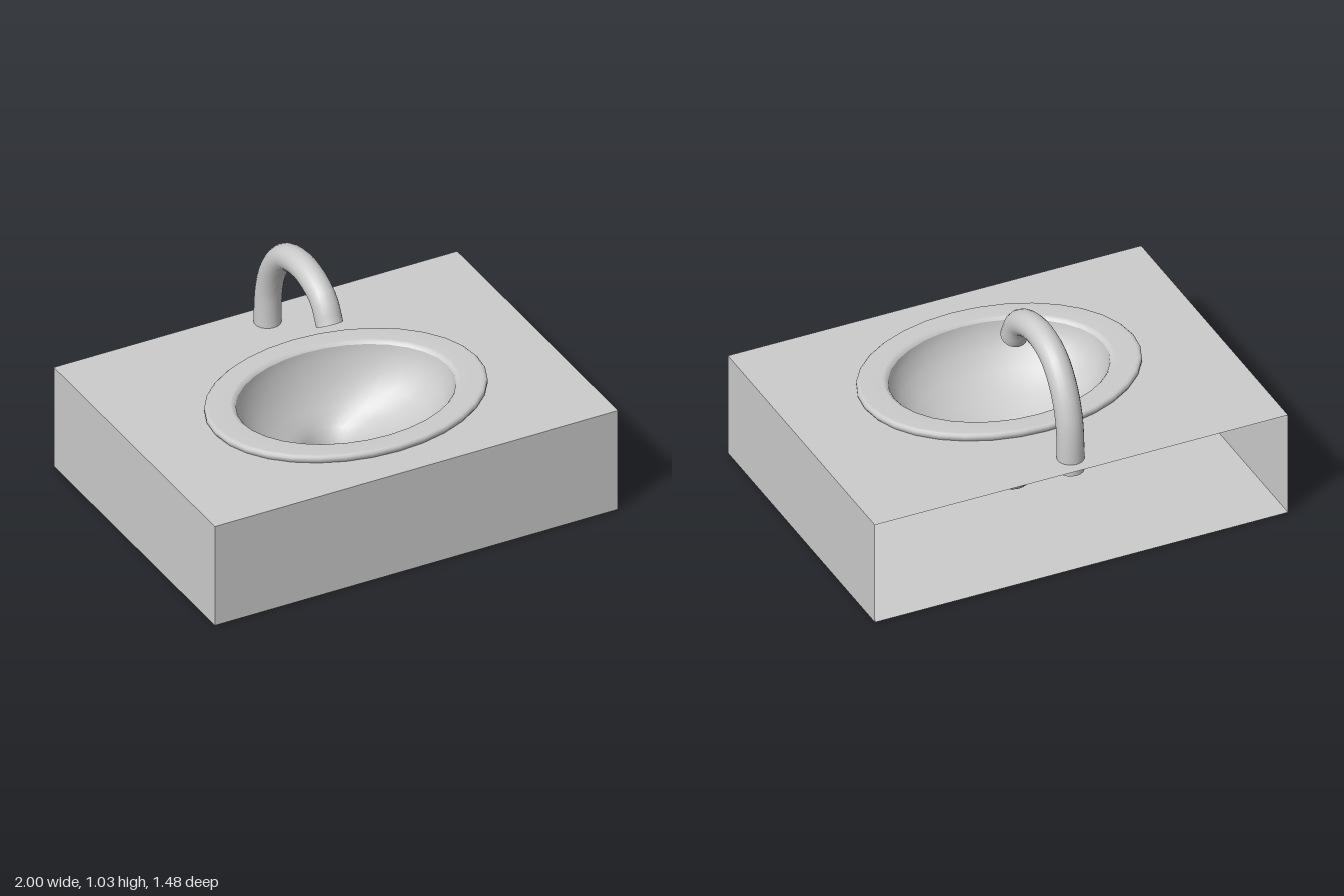
import * as THREE from 'three';

const W = 2, D = 1.48, H = 0.51;
const material = new THREE.MeshStandardMaterial({ color: 0xcccccc, side: THREE.DoubleSide });

function addMesh(parent, name, geometry) {
  const mesh = new THREE.Mesh(geometry, material);
  mesh.name = name;
  parent.add(mesh);
  return mesh;
}

// Skin through level elliptical rings: [radiusX, radiusZ, centreZ, y]
function loftRings(rings, segments) {
  const positions = [], indices = [];
  for (const [a, b, cz, y] of rings) {
    for (let i = 0; i < segments; i++) {
      const t = (i / segments) * Math.PI * 2;
      positions.push(a * Math.cos(t), y, cz + b * Math.sin(t));
    }
  }
  for (let r = 0; r < rings.length - 1; r++) {
    for (let i = 0; i < segments; i++) {
      const j = (i + 1) % segments;
      const p = r * segments + i, q = r * segments + j;
      indices.push(p, q, p + segments, q, q + segments, p + segments);
    }
  }
  const geometry = new THREE.BufferGeometry();
  geometry.setAttribute('position', new THREE.Float32BufferAttribute(positions, 3));
  geometry.setIndex(indices);
  // Rings run outside to inside, so normals face up and inward
  for (let k = 0; k < indices.length; k += 3) {
    [indices[k + 1], indices[k + 2]] = [indices[k + 2], indices[k + 1]];
  }
  geometry.setIndex(indices);
  geometry.computeVertexNormals();
  return geometry;
}

// Thin-walled cabinet, open at the back
function createCabinet() {
  const cabinet = new THREE.Group();
  cabinet.name = 'cabinet';

  addMesh(cabinet, 'frontPanel', new THREE.PlaneGeometry(W, H)).position.set(0, H / 2, D / 2);
  for (const side of [1, -1]) {
    const panel = addMesh(cabinet, side > 0 ? 'leftPanel' : 'rightPanel', new THREE.PlaneGeometry(D, H));
    panel.rotation.y = side * Math.PI / 2;
    panel.position.set(side * W / 2, H / 2, 0);
  }
  const bottom = addMesh(cabinet, 'bottomPanel', new THREE.PlaneGeometry(W, D));
  bottom.rotation.x = Math.PI / 2;

  // Countertop with an elliptical cutout for the basin
  const top = new THREE.Shape();
  top.moveTo(-W / 2, -D / 2).lineTo(W / 2, -D / 2).lineTo(W / 2, D / 2).lineTo(-W / 2, D / 2).closePath();
  const cutout = new THREE.Path();
  cutout.absellipse(0, -0.09, 0.64, 0.488, 0, Math.PI * 2, true);
  top.holes.push(cutout);
  const counter = addMesh(cabinet, 'countertop', new THREE.ShapeGeometry(top, 16));
  counter.rotation.x = -Math.PI / 2;
  counter.position.y = H;
  return cabinet;
}

// Raised rim and bowl sloping back to an offset drain well
function createBasin() {
  const basin = new THREE.Group();
  basin.name = 'basin';
  addMesh(basin, 'rim', loftRings([
    [0.64, 0.488, 0.09, 0.508],
    [0.65, 0.496, 0.09, 0.522],
    [0.65, 0.496, 0.09, 0.535],
    [0.642, 0.488, 0.09, 0.543],
    [0.63, 0.477, 0.09, 0.545],
    [0.53, 0.407, 0.09, 0.545],
    [0.515, 0.393, 0.09, 0.541],
    [0.505, 0.385, 0.09, 0.53],
  ], 32));
  addMesh(basin, 'bowl', loftRings([
    [0.505, 0.385, 0.09, 0.53],
    [0.495, 0.378, 0.088, 0.48],
    [0.46, 0.35, 0.08, 0.41],
    [0.4, 0.305, 0.06, 0.34],
    [0.31, 0.24, 0.03, 0.28],
    [0.22, 0.175, -0.01, 0.24],
    [0.15, 0.13, -0.04, 0.21],
    [0.11, 0.105, -0.045, 0.17],
    [0.095, 0.095, -0.045, 0.12],
    [0.09, 0.09, -0.045, 0.06],
    [0.065, 0.065, -0.045, 0.035],
    [0.001, 0.001, -0.045, 0.025],
  ], 32));
  return basin;
}

// Swan-neck spout, an open pipe running through the countertop
function createFaucet() {
  const path = new THREE.CatmullRomCurve3([
    [0.45, -0.63], [0.6, -0.628], [0.71, -0.613], [0.835, -0.56], [0.935, -0.465],
    [0.973, -0.33], [0.953, -0.2], [0.9, -0.11], [0.81, -0.06],
  ].map(([y, z]) => new THREE.Vector3(0, y, z)));
  return new THREE.TubeGeometry(path, 24, 0.061, 20, false);
}

export function createModel() {
  const model = new THREE.Group();
  model.name = 'washbasin';
  model.add(createCabinet(), createBasin());
  addMesh(model, 'faucet', createFaucet());
  return model;
}
